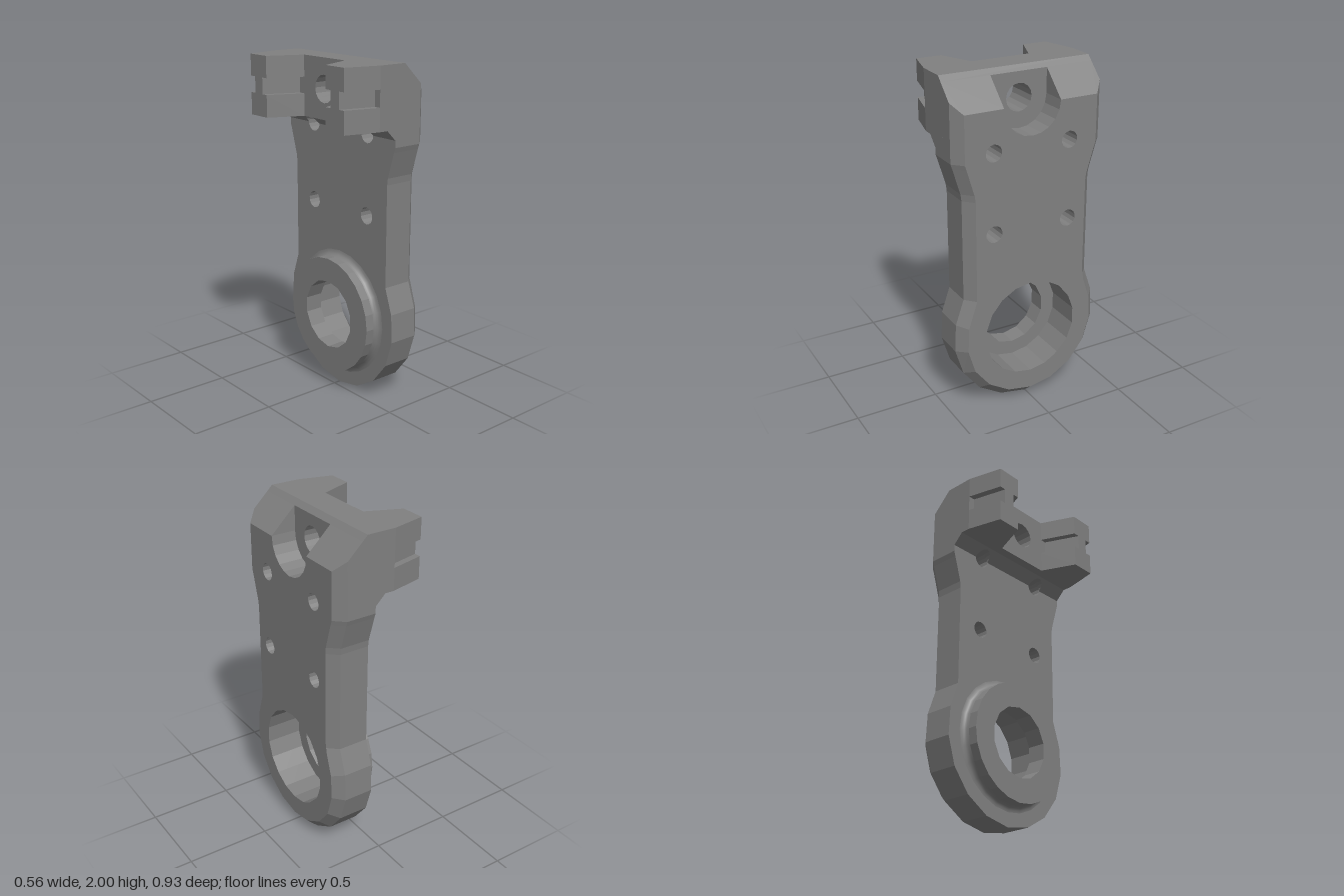
import * as THREE from 'three';
import { ConvexGeometry } from 'three/addons/geometries/ConvexGeometry.js';

const V = (x, y) => new THREE.Vector2(x, y);
const BORE_Y = 0.47, PIN_Y = 1.825, HALF = 0.465;

// Regular polygon, or part of one, starting at the bottom
function arc(cx, cy, r, sides, from = 0, to = sides) {
  const pts = [];
  for (let i = from; i <= to; i++) {
    const a = (i / sides) * Math.PI * 2 - Math.PI / 2;
    pts.push(V(cx + r * Math.cos(a), cy + r * Math.sin(a)));
  }
  return pts;
}
const circle = (cx, cy, r, sides) => arc(cx, cy, r, sides, 0, sides - 1);

// Plate outline, inset by d; the top edge may carry the U-shaped notch
function outline(d, top, notched) {
  const half = [];
  for (let k = 0; k <= 5; k++) {
    const a = THREE.MathUtils.degToRad(20.7 * k), r = BORE_Y - d;
    half.push(V(Math.min(r * Math.sin(a), HALF - d), BORE_Y - r * Math.cos(a)));
  }
  half.push(V(0.405 - d, 0.73), V(0.405 - d, 1.33), V(0.41 - d, 1.37),
    V(0.455 - d, 1.52), V(HALF - d, 1.55), V(HALF - d, top));
  const notch = notched ? arc(0, PIN_Y, 0.175, 20, -5, 5).reverse() : [];
  const mirrored = half.slice(1).reverse().map(p => V(-p.x, p.y));
  return [...half, ...notch, ...mirrored];
}

// Slab in the upright plane running from x0 to x1; rule may move its vertices
function slab(pts, holes, x0, x1, rule) {
  const shape = new THREE.Shape(pts);
  shape.holes = holes.map(h => new THREE.Path(h));
  const geo = new THREE.ExtrudeGeometry(shape, { depth: x1 - x0, bevelEnabled: false });
  geo.translate(0, 0, x0);
  if (rule) {
    const pos = geo.attributes.position, v = new THREE.Vector3();
    for (let i = 0; i < pos.count; i++) {
      rule(v.fromBufferAttribute(pos, i));
      pos.setXYZ(i, v.x, v.y, v.z);
    }
    geo.computeVertexNormals();
  }
  return geo.rotateY(Math.PI / 2);
}

const rect = (w, y0, y1) => [V(-w, y0), V(w, y0), V(w, y1), V(-w, y1)];

export function createModel() {
  const model = new THREE.Group();
  model.name = 'bracket';
  const metal = new THREE.MeshStandardMaterial({ color: 0x808080 });
  metal.name = 'grey metal';
  const add = (name, geo) => {
    const mesh = new THREE.Mesh(geo, metal);
    mesh.name = name;
    model.add(mesh);
  };

  const screws = [];
  for (const y of [1.12, 1.59]) for (const z of [-0.237, 0.237]) screws.push(circle(z, y, 0.05, 14));
  const bore = circle(0, BORE_Y, 0.21, 14);
  const counterbore = circle(0, BORE_Y, 0.295, 18);
  const pin = circle(0, PIN_Y, 0.08, 16);

  // Plate in layers from back to front
  add('plateBack', slab(outline(0, 1.65), [...screws, bore], 0.04, 0.06));
  add('plateCore', slab(outline(0, 1.65), [...screws, counterbore], 0.06, 0.13));
  add('plateFront', slab(outline(0, PIN_Y, true), [...screws, counterbore], 0.13, 0.22));

  // Chamfered face: the front rim moves in to the inset outline
  const outer = outline(0, PIN_Y, true), inner = outline(0.055, PIN_Y, true);
  add('plateChamfer', slab(outer, [...screws, counterbore], 0.22, 0.28, v => {
    if (v.z < 0.25) return;
    const i = outer.findIndex(p => Math.hypot(p.x - v.x, p.y - v.y) < 1e-4);
    if (i >= 0) { v.x = inner[i].x; v.y = inner[i].y; }
  }));

  // Raised ring behind the bore, with a fillet at its foot
  add('boss', slab(circle(0, BORE_Y, 0.35, 24), [bore], -0.05, 0.04));
  const fillet = [];
  for (let i = 0; i <= 4; i++) {
    const a = (i / 4) * Math.PI / 2;
    fillet.push(V(0.385 - 0.035 * Math.cos(a), 0.005 + 0.035 * Math.sin(a)));
  }
  add('bossFillet', new THREE.LatheGeometry(fillet, 24).rotateZ(-Math.PI / 2).translate(0, BORE_Y, 0));

  // Head block with the pin hole
  add('headBlock', slab(rect(HALF, 1.65, 2), [pin], -0.075, 0.1));
  add('notchWall', slab(rect(HALF, 1.65, 1.97), [pin], 0.1, 0.13));
  const strip = new THREE.Shape([V(0.1, 1.97), V(0.13, 1.97), V(0.1, 2)]);
  add('topChamfer', new THREE.ExtrudeGeometry(strip, { depth: HALF * 2, bevelEnabled: false })
    .translate(0, 0, -HALF));

  // Sloped underside of the head, cleared around the upper screw holes
  const under = [V(-HALF, 1.65), V(-HALF, 1.59)];
  for (const z of [-0.237, 0.237]) under.push(...arc(z, 1.59, 0.05, 16, 4, 12).reverse());
  under.push(V(HALF, 1.59), V(HALF, 1.65));
  add('headGusset', slab(under, [], -0.02, 0.04, v => {
    if (v.z < 0) v.z = 0.04 - (v.y - 1.59);
  }));

  for (const s of [1, -1]) {
    const side = s > 0 ? 'left' : 'right';
    // Sloped shoulder beside the notch
    const corners = [
      [0.13, 1.825, 0.175], [0.28, 1.825, 0.175], [0.13, 1.97, 0.175],
      [0.13, 1.825, HALF], [0.22, 1.825, HALF], [0.28, 1.825, 0.41],
      [0.22, 1.883, HALF], [0.13, 1.97, HALF],
    ];
    add(side + 'Shoulder', new ConvexGeometry(corners.map(([x, y, z]) => new THREE.Vector3(x, y, z * s))));

    // Tapered arm, narrowed in the middle by a slot on both faces
    const layers = [['ArmLower', 1.65, 1.78, 0], ['ArmSlot', 1.78, 1.875, 0.04], ['ArmUpper', 1.875, 2, 0]];
    for (const [name, y0, y1, d] of layers) {
      const plan = new THREE.Shape([V(-0.075, s * (0.18 + d)), V(-0.28, s * (0.265 + d)),
        V(-0.28, s * (0.415 - d)), V(-0.075, s * (HALF - d))]);
      add(side + name, new THREE.ExtrudeGeometry(plan, { depth: y1 - y0, bevelEnabled: false })
        .rotateX(-Math.PI / 2).translate(0, y0, 0));
    }
  }
  return model;
}
